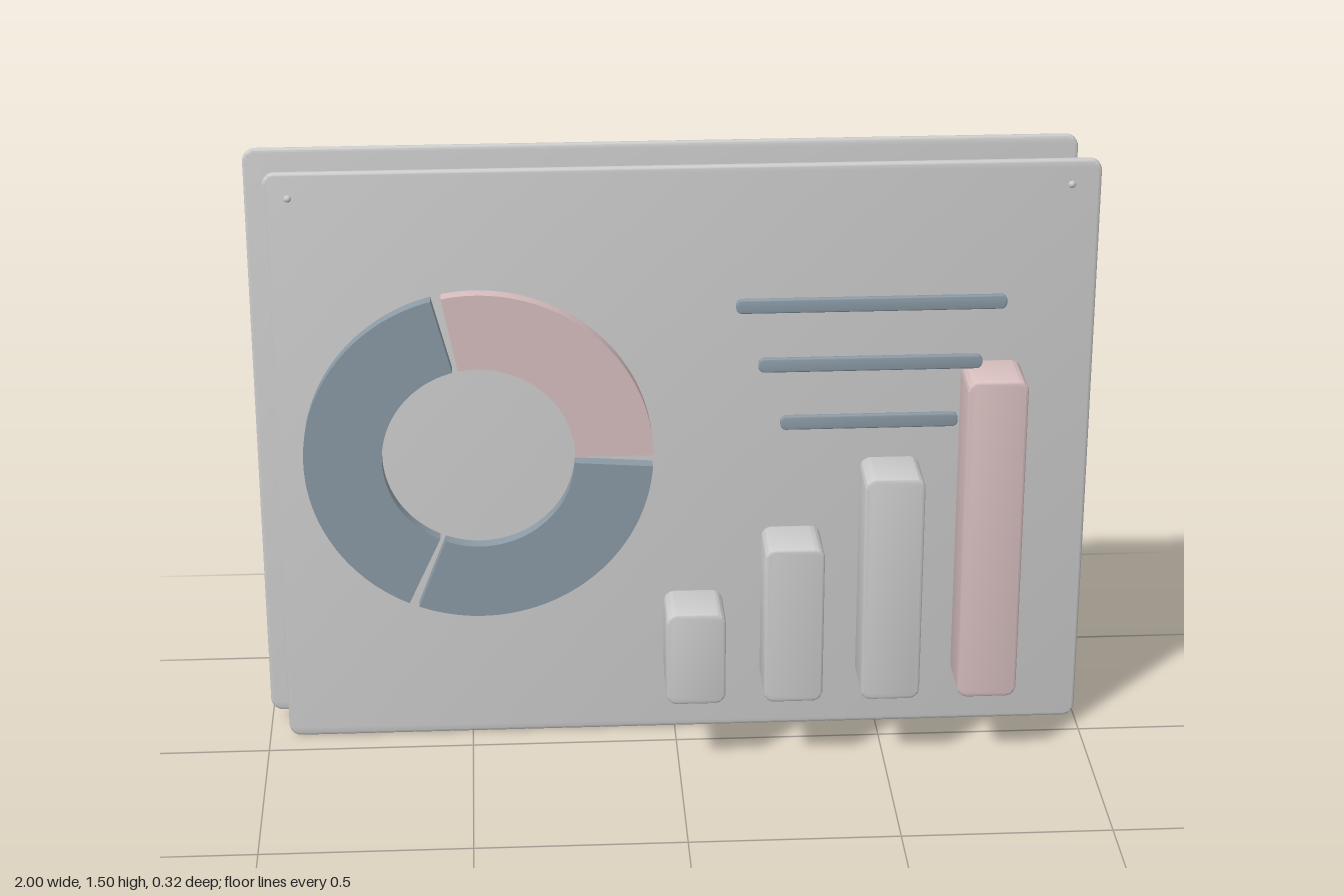
import * as THREE from 'three';
import { toCreasedNormals } from 'three/addons/utils/BufferGeometryUtils.js';

const grey = new THREE.MeshStandardMaterial({ color: 0xcccccc });
const pink = new THREE.MeshStandardMaterial({ color: 0xd8bfbf });
const blue = new THREE.MeshStandardMaterial({ color: 0x8c9ba6 });

// Rounded rectangle outline between two corners
function roundedRect(x0, y0, x1, y1, r) {
  const s = new THREE.Shape();
  s.absarc(x1 - r, y0 + r, r, -Math.PI / 2, 0);
  s.absarc(x1 - r, y1 - r, r, 0, Math.PI / 2);
  s.absarc(x0 + r, y1 - r, r, Math.PI / 2, Math.PI);
  s.absarc(x0 + r, y0 + r, r, Math.PI, Math.PI * 1.5);
  s.closePath();
  return s;
}

// Slab filling the given box, with rounded corners and a small edge bevel
function slab(name, material, [x0, x1], [y0, y1], [z0, z1], radius, bevel) {
  const shape = roundedRect(x0 + bevel, y0 + bevel, x1 - bevel, y1 - bevel, radius - bevel);
  const geo = new THREE.ExtrudeGeometry(shape, {
    depth: z1 - z0 - 2 * bevel, curveSegments: 8,
    bevelEnabled: true, bevelSize: bevel, bevelThickness: bevel, bevelSegments: 3,
  });
  geo.translate(0, 0, z0 + bevel);
  const mesh = new THREE.Mesh(toCreasedNormals(geo, 0.6), material);
  mesh.name = name;
  return mesh;
}

// Ring segment between two angles in degrees
function ringSegment(name, material, startDeg, endDeg) {
  const a = THREE.MathUtils.degToRad(startDeg), b = THREE.MathUtils.degToRad(endDeg);
  const s = new THREE.Shape();
  s.absarc(0, 0, 0.409, a, b, false);
  s.absarc(0, 0, 0.226, b, a, true);
  s.closePath();
  const geo = new THREE.ExtrudeGeometry(s, { depth: 0.034, curveSegments: 40, bevelEnabled: false });
  const mesh = new THREE.Mesh(toCreasedNormals(geo, 0.6), material);
  mesh.name = name;
  return mesh;
}

export function createModel() {
  const model = new THREE.Group();
  model.name = 'chartBoard';

  // Two staggered panels
  model.add(
    slab('frontPanel', grey, [-0.953, 1], [0, 1.465], [-0.092, -0.072], 0.03, 0.007),
    slab('backPanel', grey, [-1, 0.953], [0.037, 1.502], [-0.16, -0.14], 0.03, 0.007),
  );

  // Small pins in the upper corners of the front panel
  for (const x of [-0.895, 0.93]) {
    const pin = new THREE.Mesh(new THREE.SphereGeometry(0.009, 16, 12), grey);
    pin.name = 'cornerPin';
    pin.position.set(x, 1.404, -0.073);
    model.add(pin);
  }

  // Ring chart
  const ring = new THREE.Group();
  ring.name = 'ringChart';
  ring.position.set(-0.468, 0.813, 0.066);
  ring.add(
    ringSegment('ringSegmentTop', pink, 0, 101),
    ringSegment('ringSegmentSide', blue, 104.5, 245),
    ringSegment('ringSegmentBottom', blue, 248.5, 356),
  );
  model.add(ring);

  // Text-like strips, each shorter than the one above
  [1.175, 1.027, 0.881].forEach((y, i) => {
    const half = 0.315 - i * 0.053;
    model.add(slab('strip', blue, [0.449 - half, 0.449 + half], [y - 0.017, y + 0.017],
      [0.074, 0.088], 0.014, 0.003));
  });

  // Bar chart rising to the tall coloured bar
  [0.422, 0.587, 0.763, 1.005].forEach((top, i) => {
    const x = 0.039 + i * 0.234;
    model.add(slab('bar', i === 3 ? pink : grey, [x - 0.071, x + 0.071], [0.182, top],
      [0.021, 0.161], 0.026, 0.007));
  });

  return model;
}
